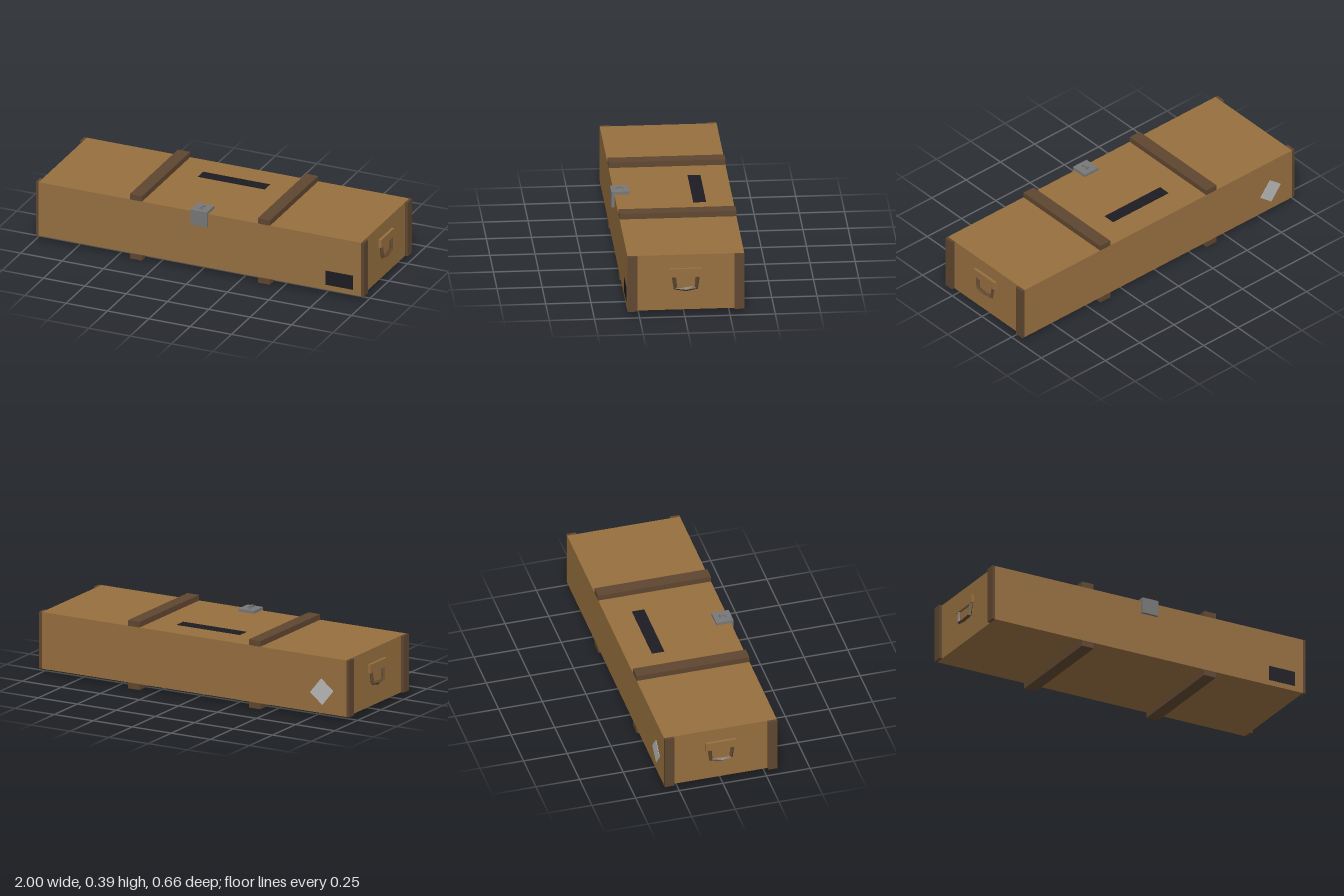
import * as THREE from 'three';

const material = (color) => new THREE.MeshStandardMaterial({ color, flatShading: true });

// Box given by its [min, max] extent on each axis
function box(parent, name, mat, [x0, x1], [y0, y1], [z0, z1]) {
  const mesh = new THREE.Mesh(new THREE.BoxGeometry(x1 - x0, y1 - y0, z1 - z0), mat);
  mesh.position.set((x0 + x1) / 2, (y0 + y1) / 2, (z0 + z1) / 2);
  mesh.name = name;
  parent.add(mesh);
  return mesh;
}

// Diamond-section bar swept along a bent path lying roughly in the yz plane
function bailGeometry(path, r) {
  const rings = path.map((p, i) => {
    const a = path[Math.max(i - 1, 0)];
    const b = path[Math.min(i + 1, path.length - 1)];
    const side = new THREE.Vector3(0, b.z - a.z, a.y - b.y).normalize().multiplyScalar(r);
    const out = new THREE.Vector3(r, 0, 0);
    return [side, out, side.clone().negate(), out.clone().negate()].map((o) => o.add(p));
  });
  const pos = [];
  const tri = (...v) => v.forEach((q) => pos.push(q.x, q.y, q.z));
  for (let i = 0; i < rings.length - 1; i++) {
    for (let j = 0; j < 4; j++) {
      const k = (j + 1) % 4;
      const [a, b, c, d] = [rings[i][j], rings[i][k], rings[i + 1][k], rings[i + 1][j]];
      tri(a, b, c);
      tri(a, c, d);
    }
  }
  const geo = new THREE.BufferGeometry();
  geo.setAttribute('position', new THREE.Float32BufferAttribute(pos, 3));
  geo.computeVertexNormals();
  return geo;
}

export function createModel() {
  const model = new THREE.Group();
  model.name = 'woodenCrate';
  const wood = material(0x966f3f);
  const darkWood = material(0x5f4630);
  const metal = material(0x777777);
  const black = material(0x1c1c22);
  const paper = material(0xb8b8b8);
  const bailMat = material(0x5f4630);
  bailMat.side = THREE.DoubleSide;

  const back = -0.33, front = 0.316, bottom = 0.034, top = 0.358;

  // Main box
  box(model, 'body', wood, [-0.975, 0.975], [bottom, top], [back, front]);

  // Battens across the lid and under the floor
  for (const s of [-1, 1]) {
    const xs = [s * 0.387 - 0.037, s * 0.387 + 0.037];
    box(model, 'lidBatten', darkWood, xs, [top, 0.39], [back, front]);
    box(model, 'floorBatten', darkWood, xs, [0, bottom], [back, front]);
  }

  // Corner posts and carrying handle on each end
  const path = [[0.98, 0.235, 0.06], [0.985, 0.165, 0.051], [0.988, 0.158, -0.007],
    [0.985, 0.165, -0.064], [0.98, 0.235, -0.072]].map((p) => new THREE.Vector3(...p));
  const bail = bailGeometry(path, 0.012);
  for (const s of [-1, 1]) {
    const span = (a, b) => [Math.min(s * a, s * b), Math.max(s * a, s * b)];
    const end = new THREE.Group();
    end.name = s > 0 ? 'leftEnd' : 'rightEnd';
    box(end, 'frontPost', darkWood, span(0.975, 0.992), [bottom, top], [0.262, front]);
    box(end, 'backPost', darkWood, span(0.975, 0.992), [bottom, top], [back, -0.275]);
    box(end, 'handlePlate', wood, span(0.975, 0.991), [0.23, 0.279], [-0.095, 0.081]);
    const handle = new THREE.Mesh(bail, bailMat);
    handle.name = 'handle';
    handle.scale.x = s;
    end.add(handle);
    model.add(end);
  }

  // Latch folded over the front edge, with a small staple on top
  const latch = new THREE.Group();
  latch.name = 'latch';
  box(latch, 'latchTop', metal, [-0.05, 0.05], [top, 0.374], [0.233, front]);
  box(latch, 'latchFront', metal, [-0.05, 0.05], [0.283, 0.374], [front, 0.332]);
  box(latch, 'stapleBackLeg', metal, [-0.01, 0.01], [0.374, 0.381], [0.263, 0.272]);
  box(latch, 'stapleFrontLeg', metal, [-0.01, 0.01], [0.374, 0.381], [0.296, 0.305]);
  box(latch, 'stapleBar', metal, [-0.006, 0.006], [0.379, 0.387], [0.265, 0.303]);
  model.add(latch);

  // Thin labels
  box(model, 'lidLabel', black, [-0.204, 0.2], [top, top + 0.002], [-0.18, -0.109]);
  box(model, 'frontLabel', black, [0.76, 0.925], [0.065, 0.15], [front, front + 0.002]);
  const tag = box(model, 'backLabel', paper, [-0.868, -0.767], [0.101, 0.213], [back - 0.002, back]);
  tag.rotation.z = THREE.MathUtils.degToRad(39);

  return model;
}
